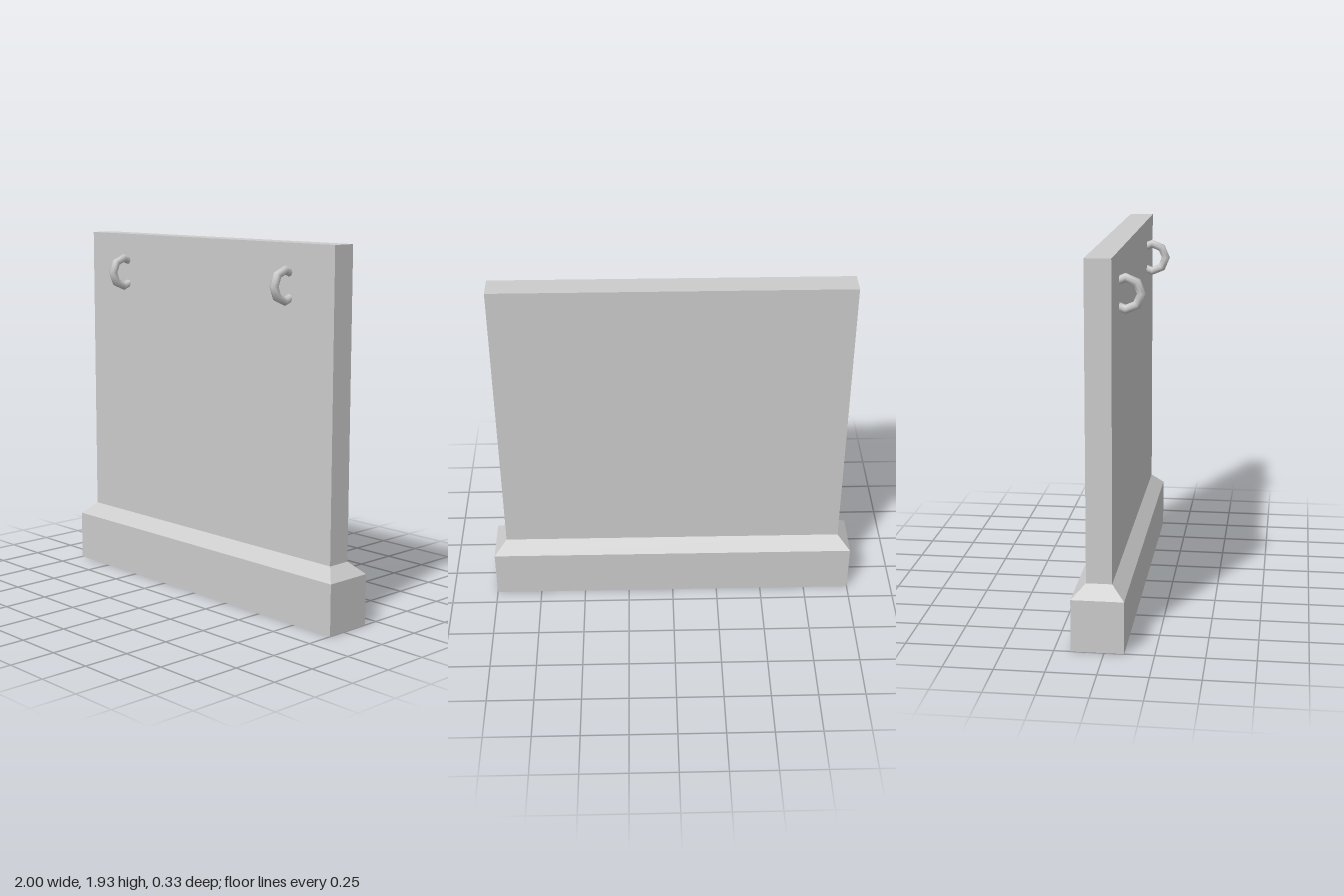
import * as THREE from 'three';

// Open-bottomed shell lofted through rectangles [y, halfWidth, zBack, zFront]
function loftShell(sections) {
  const pos = [];
  const corners = ([y, w, zb, zf]) => [[-w, y, zf], [w, y, zf], [w, y, zb], [-w, y, zb]];
  const quad = (a, b, c, d) => pos.push(...a, ...b, ...c, ...a, ...c, ...d);
  for (let i = 0; i < sections.length - 1; i++) {
    const lo = corners(sections[i]), hi = corners(sections[i + 1]);
    for (let k = 0; k < 4; k++) {
      const n = (k + 1) % 4;
      quad(lo[k], lo[n], hi[n], hi[k]);
    }
  }
  quad(...corners(sections[sections.length - 1])); // top cap
  const geo = new THREE.BufferGeometry();
  geo.setAttribute('position', new THREE.Float32BufferAttribute(pos, 3));
  geo.computeVertexNormals();
  return geo;
}

export function createModel() {
  const group = new THREE.Group();

  // Wide plinth, chamfer and upright slab in one hollow shell
  const wall = new THREE.Mesh(
    loftShell([
      [0, 1, -0.165, 0.1],
      [0.27, 1, -0.165, 0.1],
      [0.335, 0.933, -0.097, 0.033],
      [1.935, 0.933, -0.097, 0.033],
    ]),
    new THREE.MeshStandardMaterial({ color: 0xcccccc, flatShading: true, side: THREE.DoubleSide })
  );
  wall.name = 'wallSlab';
  group.add(wall);

  // Lifting rings half sunk into the front face
  const ringGeo = new THREE.TorusGeometry(0.078, 0.023, 8, 8).rotateY(-Math.PI / 2);
  const ringMat = new THREE.MeshStandardMaterial({ color: 0xcccccc });
  for (const side of [-1, 1]) {
    const ring = new THREE.Mesh(ringGeo, ringMat);
    ring.name = side > 0 ? 'leftLiftingRing' : 'rightLiftingRing';
    ring.position.set(side * 0.628, 1.723, 0.062);
    group.add(ring);
  }
  return group;
}
